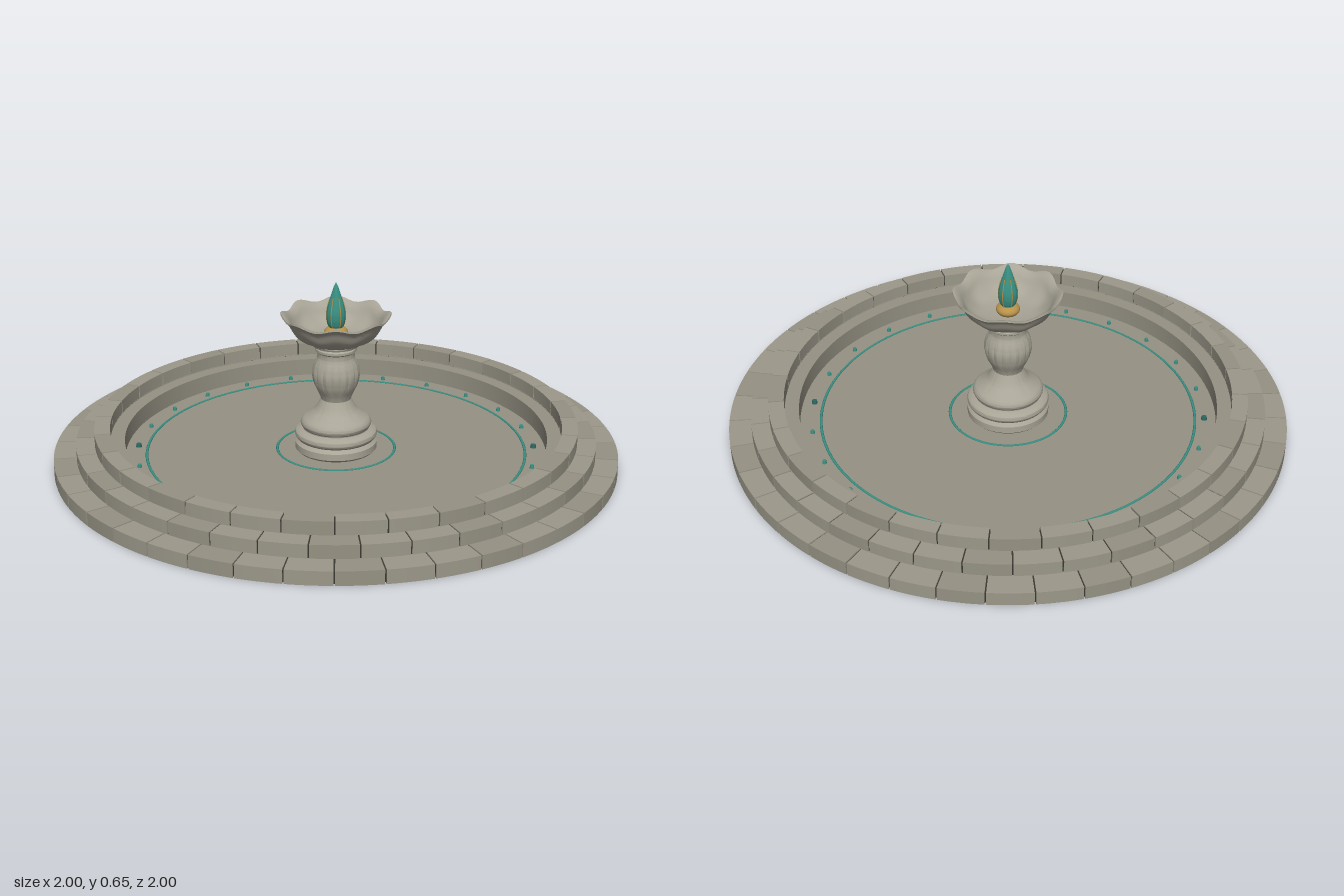
import * as THREE from 'three';
import { toCreasedNormals } from 'three/addons/utils/BufferGeometryUtils.js';

const mat = (color) => new THREE.MeshStandardMaterial({ color });
const stone = mat(0x9c988a);
const stoneWarm = mat(0x969284);
const paleStone = mat(0xa8a496);
const mortar = mat(0x3a3832);
const teal = mat(0x3a9083);
const darkTeal = mat(0x2c6660);
const gold = mat(0xb8924a);

function add(parent, name, geometry, material) {
  const mesh = new THREE.Mesh(geometry, material);
  mesh.name = name;
  parent.add(mesh);
  return mesh;
}

// Surface of revolution; warp(point, angle) may reshape each vertex
function turned(points, segments, warp) {
  const geo = new THREE.LatheGeometry(points.map(([r, y]) => new THREE.Vector2(r, y)), segments);
  if (warp) {
    const pos = geo.attributes.position;
    const v = new THREE.Vector3();
    for (let i = 0; i < pos.count; i++) {
      v.fromBufferAttribute(pos, i);
      warp(v, Math.atan2(v.x, v.z));
      pos.setXYZ(i, v.x, v.y, v.z);
    }
  }
  return toCreasedNormals(geo, 0.6);
}

// Smooth profile through a few points
function smooth(points, count) {
  const curve = new THREE.SplineCurve(points.map(([r, y]) => new THREE.Vector2(r, y)));
  return curve.getPoints(count).map((p) => [p.x, p.y]);
}

// One curved stone block, with a narrow joint left on both sides
function blockGeometry(inner, outer, angle, height) {
  const gap = 0.0025;
  const shape = new THREE.Shape();
  shape.absarc(0, 0, outer, gap / outer, angle - gap / outer, false);
  shape.absarc(0, 0, inner, angle - gap / inner, gap / inner, true);
  const geo = new THREE.ExtrudeGeometry(shape, { depth: height, bevelEnabled: false, curveSegments: 5 });
  geo.rotateX(-Math.PI / 2);
  return toCreasedNormals(geo, 0.6);
}

function createBasin() {
  const basin = new THREE.Group();
  basin.name = 'basin';

  // Three stepped courses of blocks
  const courses = [
    { outer: 1.0, y: 0, height: 0.049, count: 40 },
    { outer: 0.92, y: 0.05, height: 0.047, count: 36 },
    { outer: 0.855, y: 0.098, height: 0.047, count: 32 },
  ];
  courses.forEach(({ outer, y, height, count }, level) => {
    const course = new THREE.Group();
    course.name = `stoneCourse${level + 1}`;
    const angle = (Math.PI * 2) / count;
    const geo = blockGeometry(0.8, outer, angle, height);
    for (let i = 0; i < count; i++) {
      const block = add(course, 'stoneBlock', geo, i % 3 === 1 ? stoneWarm : stone);
      block.rotation.y = i * angle;
    }
    course.position.y = y;
    basin.add(course);
  });

  // Dark mortar core showing in the joints
  add(basin, 'mortarCore', turned([
    [0.806, 0.004], [0.994, 0.004], [0.994, 0.044], [0.915, 0.044], [0.915, 0.093],
    [0.85, 0.093], [0.85, 0.14], [0.806, 0.14], [0.806, 0.004],
  ], 128), mortar);

  // Floor with the low inner ledge
  add(basin, 'basinFloor', turned([
    [0, 0], [0.801, 0], [0.801, 0.095], [0.75, 0.095], [0.75, 0.03], [0, 0.03],
  ], 128), stoneWarm);

  // Inlaid floor rings
  for (const radius of [0.675, 0.21]) {
    const ring = add(basin, 'floorRing', new THREE.TorusGeometry(radius, 0.005, 6, 128), teal);
    ring.rotation.x = Math.PI / 2;
    ring.scale.z = 0.6;
    ring.position.y = 0.031;
  }

  // Water nozzles around the floor, heavier on the diagonals
  for (let i = 0; i < 24; i++) {
    const a = (i / 24) * Math.PI * 2;
    const diagonal = i % 6 === 3;
    const r = diagonal ? 0.011 : 0.008;
    const nozzle = add(basin, 'nozzle', new THREE.CylinderGeometry(r * 0.8, r, 0.012, 12), diagonal ? darkTeal : teal);
    nozzle.position.set(Math.sin(a) * 0.708, 0.036, Math.cos(a) * 0.708);
  }
  return basin;
}

function createPedestal() {
  const pedestal = new THREE.Group();
  pedestal.name = 'pedestal';

  // Moulded foot
  add(pedestal, 'foot', turned([
    [0, 0.03], [0.138, 0.03], [0.146, 0.038], [0.146, 0.062], [0.138, 0.07], [0.134, 0.074],
    ...smooth([[0.138, 0.076], [0.146, 0.088], [0.144, 0.102], [0.13, 0.11]], 10),
    [0.118, 0.113],
    ...smooth([[0.118, 0.116], [0.126, 0.13], [0.12, 0.147], [0.098, 0.163], [0.075, 0.183], [0.06, 0.208], [0.053, 0.222]], 24),
    [0, 0.222],
  ], 64), paleStone);

  // Fluted vase-shaped shaft
  const vase = smooth([[0.053, 0.22], [0.06, 0.24], [0.076, 0.275], [0.084, 0.315], [0.078, 0.35], [0.066, 0.378], [0.066, 0.4]], 28);
  add(pedestal, 'shaft', turned(vase, 128, (v, a) => {
    const fade = Math.sin(Math.PI * THREE.MathUtils.clamp((v.y - 0.22) / 0.18, 0, 1));
    const k = 1 + 0.055 * fade * (Math.abs(Math.cos(a * 8)) - 0.7);
    v.x *= k;
    v.z *= k;
  }), paleStone);

  // Collar under the bowl
  add(pedestal, 'collar', turned([
    [0, 0.395], [0.064, 0.395], [0.072, 0.402], [0.072, 0.41], [0.066, 0.415],
    [0.08, 0.42], [0.083, 0.427], [0.08, 0.435], [0, 0.435],
  ], 64), paleStone);
  return pedestal;
}

function createBowl() {
  const outside = smooth([[0.07, 0.428], [0.115, 0.442], [0.15, 0.472], [0.17, 0.508], [0.188, 0.526]], 16);
  const inside = smooth([[0.18, 0.53], [0.163, 0.515], [0.142, 0.484], [0.105, 0.458], [0.05, 0.449], [0, 0.448]], 16);
  const geo = turned([...outside, [0.187, 0.532], ...inside], 96, (v, a) => {
    // Eight lobes that grow towards the rim
    const w = THREE.MathUtils.smoothstep(Math.hypot(v.x, v.z), 0.08, 0.19);
    const wave = Math.cos(a * 8);
    const k = 1 + 0.03 * w * wave;
    v.x *= k;
    v.z *= k;
    v.y += 0.008 * w * wave;
  });
  const bowl = new THREE.Group();
  bowl.name = 'scallopedBowl';
  add(bowl, 'bowlShell', geo, paleStone);
  return bowl;
}

function createFinial() {
  const finial = new THREE.Group();
  finial.name = 'finial';

  // Gilded cushion
  const cushion = add(finial, 'cushion', new THREE.SphereGeometry(0.042, 32, 16), gold);
  cushion.scale.y = 0.58;
  cushion.position.y = 0.468;

  // Pointed bud
  const profile = [[0.022, 0.482], [0.03, 0.5], [0.034, 0.53], [0.03, 0.56], [0.02, 0.595], [0.009, 0.63], [0, 0.65]];
  add(finial, 'bud', turned(smooth(profile, 24), 32), teal);

  // Slim gilded ribs on the bud
  const ribPath = new THREE.CatmullRomCurve3(profile.slice(0, 5).map(([r, y]) => new THREE.Vector3(r - 0.0005, y, 0)));
  const ribGeo = new THREE.TubeGeometry(ribPath, 16, 0.0022, 6);
  for (let i = 0; i < 6; i++) {
    add(finial, 'budRib', ribGeo, gold).rotation.y = (i / 6) * Math.PI * 2 + 0.26;
  }
  return finial;
}

export function createModel() {
  const fountain = new THREE.Group();
  fountain.name = 'fountain';
  fountain.add(createBasin(), createPedestal(), createBowl(), createFinial());
  return fountain;
}
